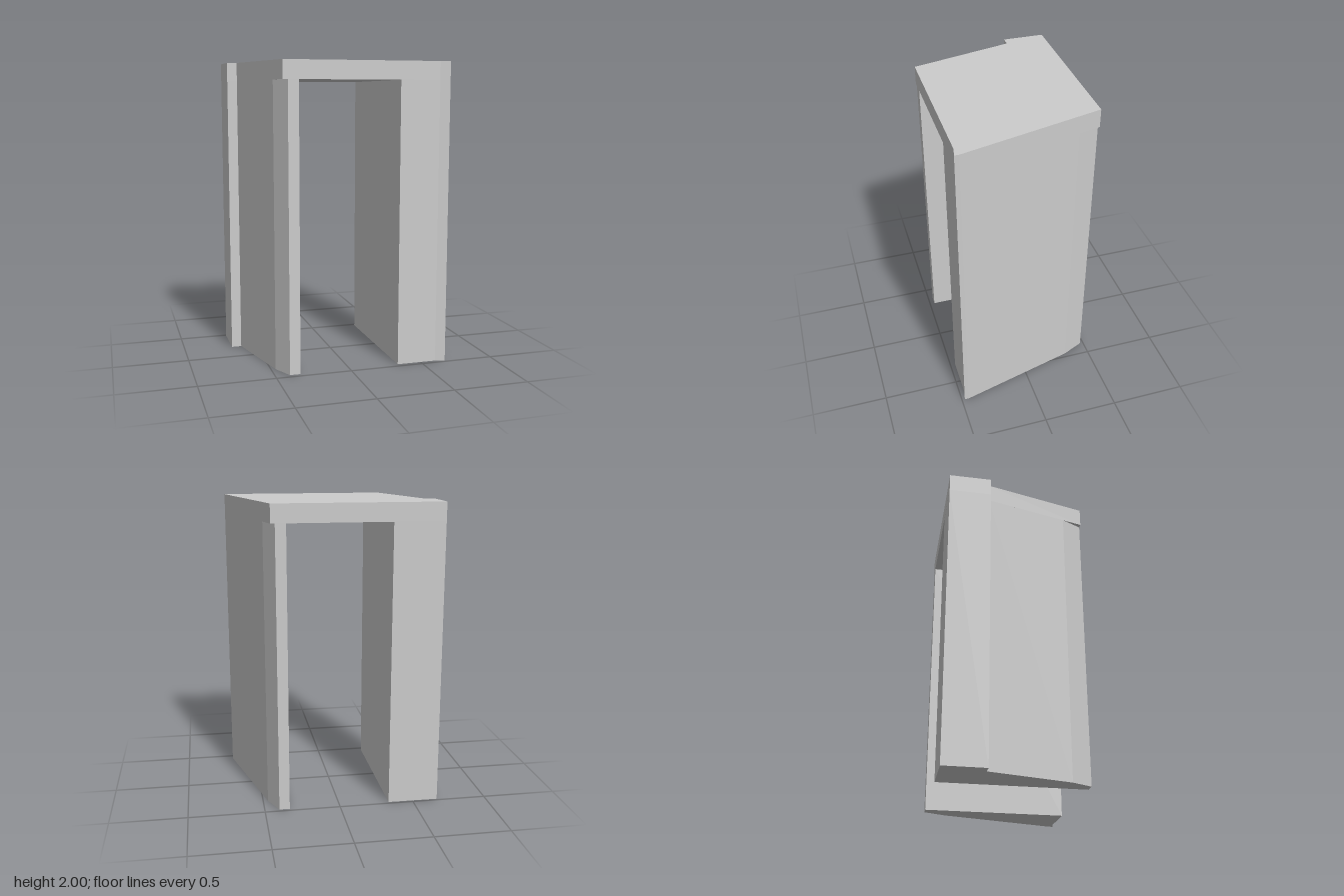
import * as THREE from 'three';

const material = new THREE.MeshStandardMaterial({ color: 0xcccccc, flatShading: true });

// Upright prism from a plan outline of [x, z] corners
function prism(name, plan, bottom, top) {
  const shape = new THREE.Shape(plan.map(([x, z]) => new THREE.Vector2(x, -z)));
  const geometry = new THREE.ExtrudeGeometry(shape, { depth: top - bottom, bevelEnabled: false });
  geometry.rotateX(-Math.PI / 2);
  geometry.translate(0, bottom, 0);
  const mesh = new THREE.Mesh(geometry, material);
  mesh.name = name;
  return mesh;
}

export function createModel() {
  const group = new THREE.Group();
  group.name = 'archway';
  const lintelBase = 1.88;

  // Skewed slab bridging both walls
  group.add(prism('lintel', [
    [-0.67, -0.485], [0.432, -0.477], [0.67, 0.45], [0.67, 0.48],
    [0.605, 0.466], [-0.437, 0.466], [-0.604, -0.21], [-0.67, -0.21],
  ], lintelBase, 2));

  // Wall with a stepped rear corner and a chamfered front tip
  group.add(prism('rightWall', [
    [-0.67, -0.485], [-0.335, -0.482], [-0.335, 0.466], [-0.405, 0.466],
    [-0.47, 0.332], [-0.604, -0.21], [-0.67, -0.21],
  ], 0, lintelBase));

  // Wall with a broad front and a chamfered rear tip
  group.add(prism('leftWall', [
    [0.335, -0.477], [0.404, -0.477], [0.468, -0.335], [0.67, 0.45],
    [0.67, 0.48], [0.605, 0.466], [0.335, 0.466],
  ], 0, lintelBase));

  return group;
}
